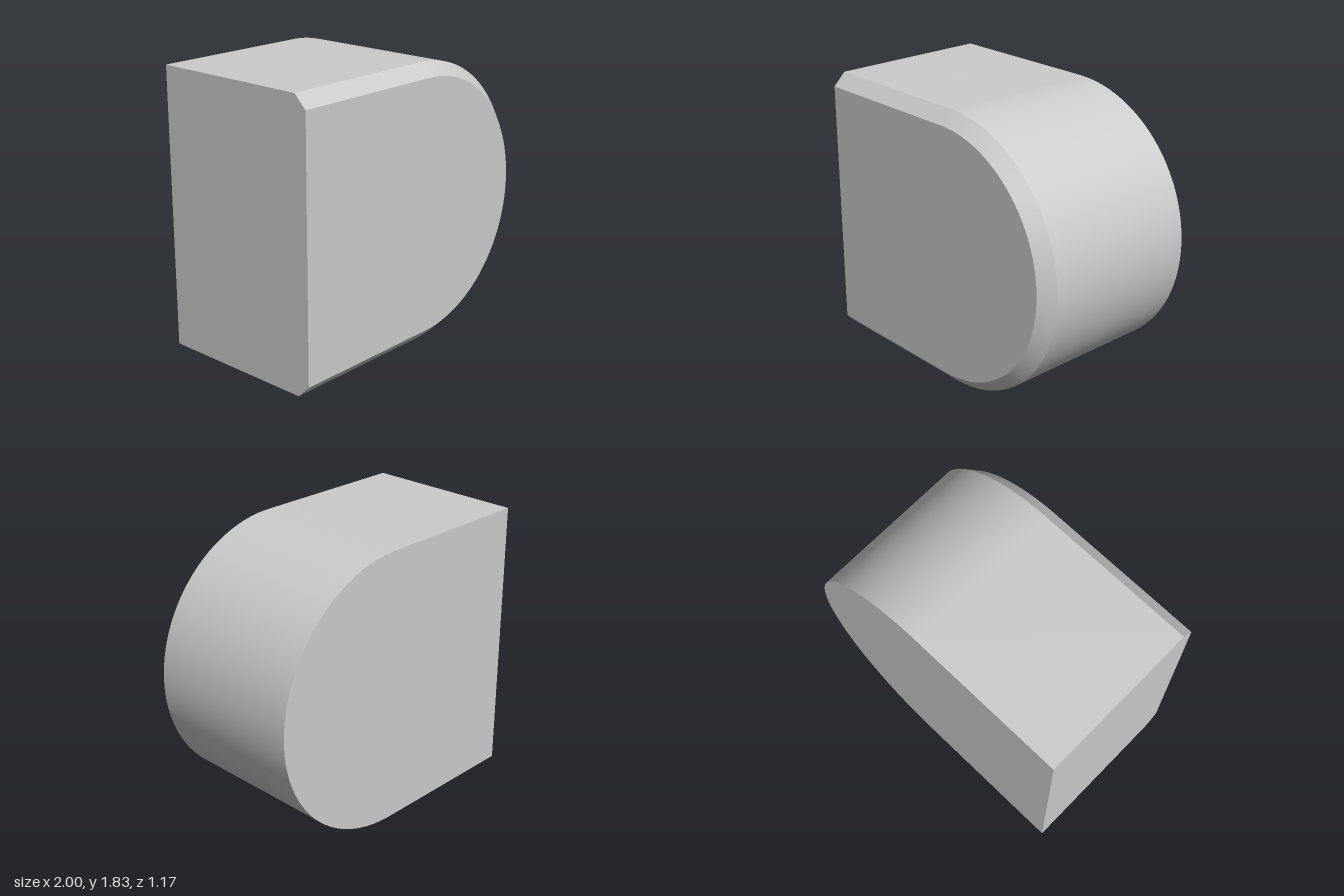
import * as THREE from 'three';
import { toCreasedNormals } from 'three/addons/utils/BufferGeometryUtils.js';

const RADIUS = 0.9167, BEVEL = 0.0833, HALF_DEPTH = 0.5833;
const ARC_X = 1 - RADIUS, SEGMENTS = 64;

// D-shaped outline, counter-clockwise from the front, flat side at x = -1
function section(radius, z) {
  const points = [new THREE.Vector3(-1, RADIUS - radius, z)];
  for (let i = 0; i <= SEGMENTS; i++) {
    const a = -Math.PI / 2 + (Math.PI * i) / SEGMENTS;
    points.push(new THREE.Vector3(ARC_X + radius * Math.cos(a), RADIUS + radius * Math.sin(a), z));
  }
  points.push(new THREE.Vector3(-1, RADIUS + radius, z));
  return points;
}

export function createModel() {
  // Straight body, then a chamfer that skips the flat side
  const sections = [
    section(RADIUS, -HALF_DEPTH),
    section(RADIUS, HALF_DEPTH - BEVEL),
    section(RADIUS - BEVEL, HALF_DEPTH),
  ];
  const n = sections[0].length;
  const index = [];

  // Walls between neighbouring sections
  for (let s = 0; s < sections.length - 1; s++) {
    for (let i = 0; i < n; i++) {
      const j = (i + 1) % n;
      const a = s * n + i, b = s * n + j;
      index.push(a, b, b + n, a, b + n, a + n);
    }
  }

  // Back and front caps
  const front = (sections.length - 1) * n;
  for (let i = 1; i < n - 1; i++) {
    index.push(0, i + 1, i);
    index.push(front, front + i, front + i + 1);
  }

  const geometry = new THREE.BufferGeometry().setFromPoints(sections.flat());
  geometry.setIndex(index);

  const body = new THREE.Mesh(
    toCreasedNormals(geometry, Math.PI / 6),
    new THREE.MeshStandardMaterial({ color: 0xcccccc })
  );
  body.name = 'roundedBlock';

  const model = new THREE.Group();
  model.name = 'chamferedRoundEndBlock';
  model.add(body);
  return model;
}
